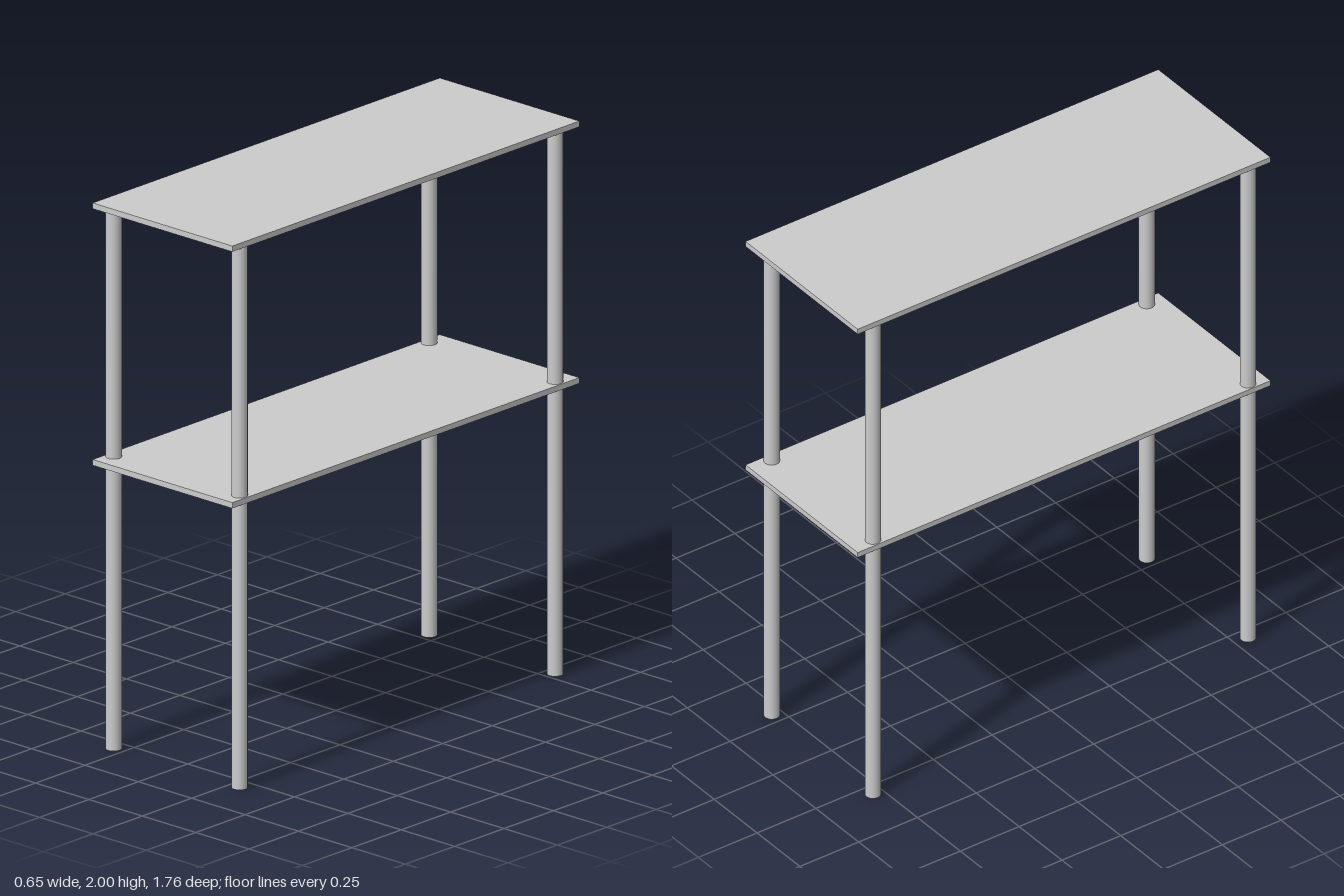
import * as THREE from 'three';

export function createModel() {
  const model = new THREE.Group();
  const material = new THREE.MeshStandardMaterial({ color: 0xcccccc });

  const add = (name, geometry, x, y, z) => {
    const mesh = new THREE.Mesh(geometry, material);
    mesh.name = name;
    mesh.position.set(x, y, z);
    model.add(mesh);
  };

  // Two thin boards
  const thickness = 0.021;
  const board = new THREE.BoxGeometry(0.654, thickness, 1.756);
  add('topShelf', board, 0, 2 - thickness / 2, 0);
  add('middleShelf', board, 0, 1.054, 0);

  // Four round posts from the floor to the underside of the top,
  // set slightly towards the front
  const height = 2 - thickness;
  const post = new THREE.CylinderGeometry(0.028, 0.028, height, 32);
  for (const [end, z] of [['front', 0.806], ['back', -0.79]]) {
    for (const [side, x] of [['Left', 0.295], ['Right', -0.295]]) {
      add(`${end}${side}Leg`, post, x, height / 2, z);
    }
  }

  return model;
}
